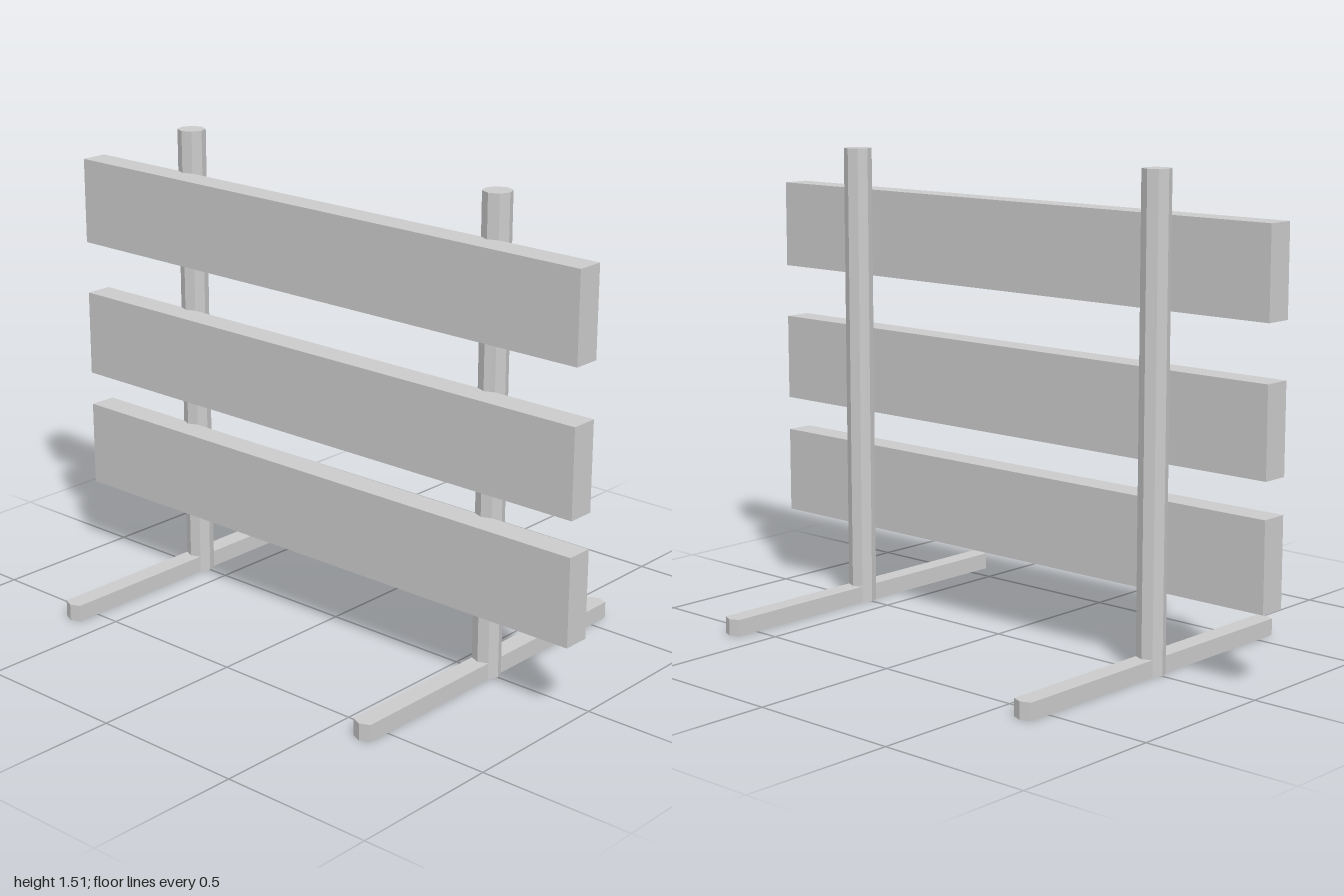
import * as THREE from 'three';

const material = new THREE.MeshStandardMaterial({ color: 0xcccccc, flatShading: true });

export function createModel() {
  const group = new THREE.Group();
  const add = (name, geometry, x, y, z) => {
    const mesh = new THREE.Mesh(geometry, material);
    mesh.name = name;
    mesh.position.set(x, y, z);
    group.add(mesh);
  };

  const radius = 0.045, height = 1.51;
  const halfWidth = radius * Math.SQRT1_2;

  // Octagonal posts
  const post = new THREE.CylinderGeometry(radius, radius, height, 8);

  // Flat feet with blunt pointed ends, outlined in plan and extruded upward
  const tip = 0.588, shoulder = tip - (radius - halfWidth);
  const outline = new THREE.Shape([
    [-halfWidth, -shoulder], [0, -tip], [halfWidth, -shoulder],
    [halfWidth, shoulder], [0, tip], [-halfWidth, shoulder],
  ].map(([x, y]) => new THREE.Vector2(x, y)));
  const foot = new THREE.ExtrudeGeometry(outline, { depth: 0.054, bevelEnabled: false });
  foot.rotateX(-Math.PI / 2);

  for (const [side, x] of [['left', 0.617], ['right', -0.617]]) {
    add(side + 'Post', post, x, height / 2, 0);
    add(side + 'Foot', foot, x, 0, 0);
  }

  // Horizontal planks on the front of the posts
  const plank = new THREE.BoxGeometry(2, 0.281, 0.089);
  [['lowerPlank', 0.386], ['middlePlank', 0.779], ['upperPlank', 1.234]]
    .forEach(([name, y]) => add(name, plank, 0, y, 0.076));

  return group;
}
